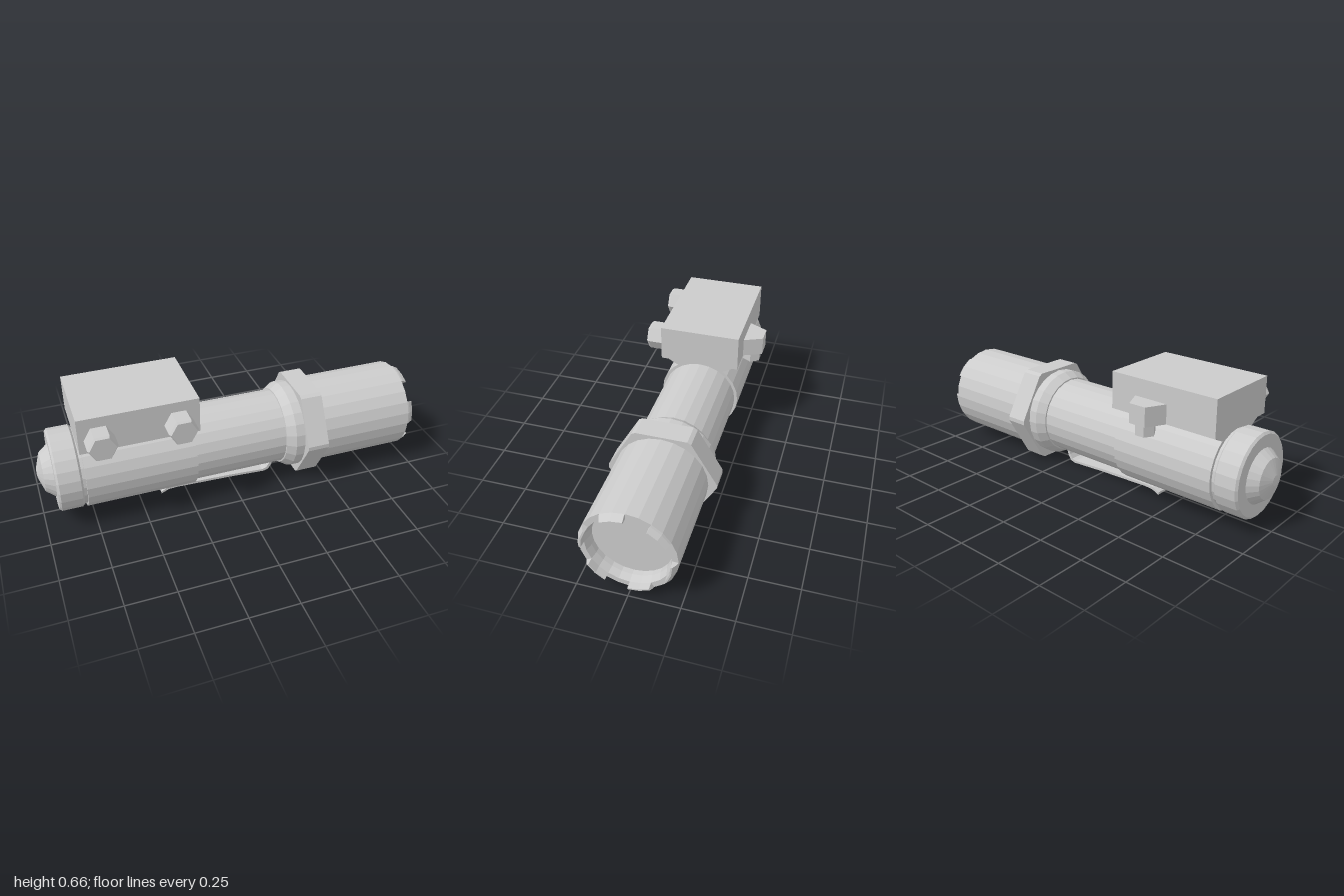
import * as THREE from 'three';

const AXIS_Y = 0.263;
const SIDES = 24;

export function createModel() {
  const model = new THREE.Group();
  model.name = 'weaponLight';
  const mat = new THREE.MeshStandardMaterial({ color: 0xcccccc, flatShading: true });
  const thin = new THREE.MeshStandardMaterial({ color: 0xcccccc, flatShading: true, side: THREE.DoubleSide });

  const add = (name, geo, x = 0, y = 0, z = 0, material = mat) => {
    const mesh = new THREE.Mesh(geo, material);
    mesh.name = name;
    mesh.position.set(x, y, z);
    model.add(mesh);
    return mesh;
  };
  const vecs = (pts) => pts.map(([a, b]) => new THREE.Vector2(a, b));
  // Profile of [radius, x] pairs turned around the barrel axis
  const turn = (pts, start = 0, length = Math.PI * 2, seg = SIDES) =>
    new THREE.LatheGeometry(vecs(pts), seg, start, length).rotateZ(-Math.PI / 2);
  const extrude = (pts, depth) =>
    new THREE.ExtrudeGeometry(new THREE.Shape(vecs(pts)), { depth, bevelEnabled: false });
  // Outline drawn in (-z, y), extruded from x0 to x1
  const extrudeX = (pts, x0, x1) => extrude(pts, x1 - x0).rotateY(Math.PI / 2).translate(x0, 0, 0);

  // Barrel
  add('tailButton', turn([[0, -1], [0.025, -0.998], [0.1, -0.972], [0.14, -0.92]]), 0, AXIS_Y);
  add('tailCap', turn([[0, -0.925], [0.2, -0.925], [0.211, -0.915], [0.211, -0.81], [0.2, -0.8], [0, -0.8]]), 0, AXIS_Y);
  add('bodyTube', turn([[0.197, -0.81], [0.197, 0.27]]), 0, AXIS_Y);
  add('clampSleeve', turn([[0.197, -0.785], [0.213, -0.785], [0.213, -0.225], [0.197, -0.225]]), 0, AXIS_Y);
  add('head', turn([
    [0.19, 0.262], [0.204, 0.264], [0.232, 0.308], [0.232, 0.965],
    [0.203, 0.965], [0.192, 0.93], [0.19, 0.905],
  ]), 0, AXIS_Y);
  add('lens', turn([[0.191, 0.905], [0, 0.905]]), 0, AXIS_Y);

  // Toothed front rim
  const toothProfile = [[0.232, 0.965], [0.229, 0.975], [0.214, 1], [0.206, 1], [0.203, 0.965]];
  const step = Math.PI / 6;
  for (let k = 0; k < 6; k++) {
    const start = step * (2 * k + 1);
    add('rimTooth', turn(toothProfile, start, step, 2), 0, AXIS_Y, 0, thin);
    for (const phi of [start, start + step]) {
      const cap = new THREE.ShapeGeometry(new THREE.Shape(vecs(toothProfile)));
      cap.rotateY(phi - Math.PI / 2).rotateZ(-Math.PI / 2);
      add('rimToothSide', cap, 0, AXIS_Y, 0, thin);
    }
  }

  // Hexagonal collar with clipped corners
  const corner = (i) => new THREE.Vector2(Math.cos(i * Math.PI / 3), Math.sin(i * Math.PI / 3)).multiplyScalar(0.2806);
  const collar = [];
  for (let i = 0; i < 6; i++) {
    for (const j of [i - 1, i + 1]) {
      const p = corner(i).lerp(corner(j), 0.045);
      collar.push([p.x, p.y]);
    }
  }
  add('hexCollar', extrudeX(collar, 0.355, 0.47), 0, AXIS_Y);

  // Rail mount
  add('mountBlock', new THREE.BoxGeometry(0.59, 0.187, 0.42), -0.505, 0.5685, 0.002);
  add('mountSaddle', extrudeX([[-0.2, 0.476], [-0.1, 0.42], [0.1, 0.42], [0.2, 0.476]], -0.785, -0.225));

  // Mount bolts with chamfered ends
  for (const x of [-0.7, -0.315]) {
    const bolt = new THREE.LatheGeometry(vecs([[0.073, 0], [0.073, 0.083], [0.065, 0.095], [0, 0.095]]), 6);
    bolt.rotateY(Math.PI / 6 + Math.PI / 3).rotateX(Math.PI / 2);
    add('mountBolt', bolt, x, 0.546, 0.212);
  }

  // Tapered rear lug and the nut below it
  const lug = extrude([[-0.535, 0.205], [-0.35, 0.205], [-0.395, 0.305], [-0.485, 0.305]], 0.098);
  add('rearLug', lug.rotateX(-Math.PI / 2), 0, 0.475, 0);
  const nut = new THREE.CylinderGeometry(0.051, 0.051, 0.064, 6).rotateY(Math.PI / 6);
  add('lugNut', nut, -0.44, 0.447, -0.242);

  // Pocket clip: a bent strip
  const clip = [
    [-0.385, 0.002], [-0.345, 0.02], [-0.3, 0.023], [0, 0.013], [0.2, 0.002], [0.225, 0.01],
    [0.243, 0.035], [0.252, 0.068], [0.275, 0.075],
    [0.275, 0.09], [0.24, 0.08], [0.23, 0.045], [0.215, 0.022],
    [0.19, 0.015], [0, 0.027], [-0.3, 0.036], [-0.35, 0.033], [-0.385, 0.014],
  ];
  add('pocketClip', extrude(clip, 0.104), 0, 0, -0.052);

  model.position.y = -0.002;
  return model;
}
